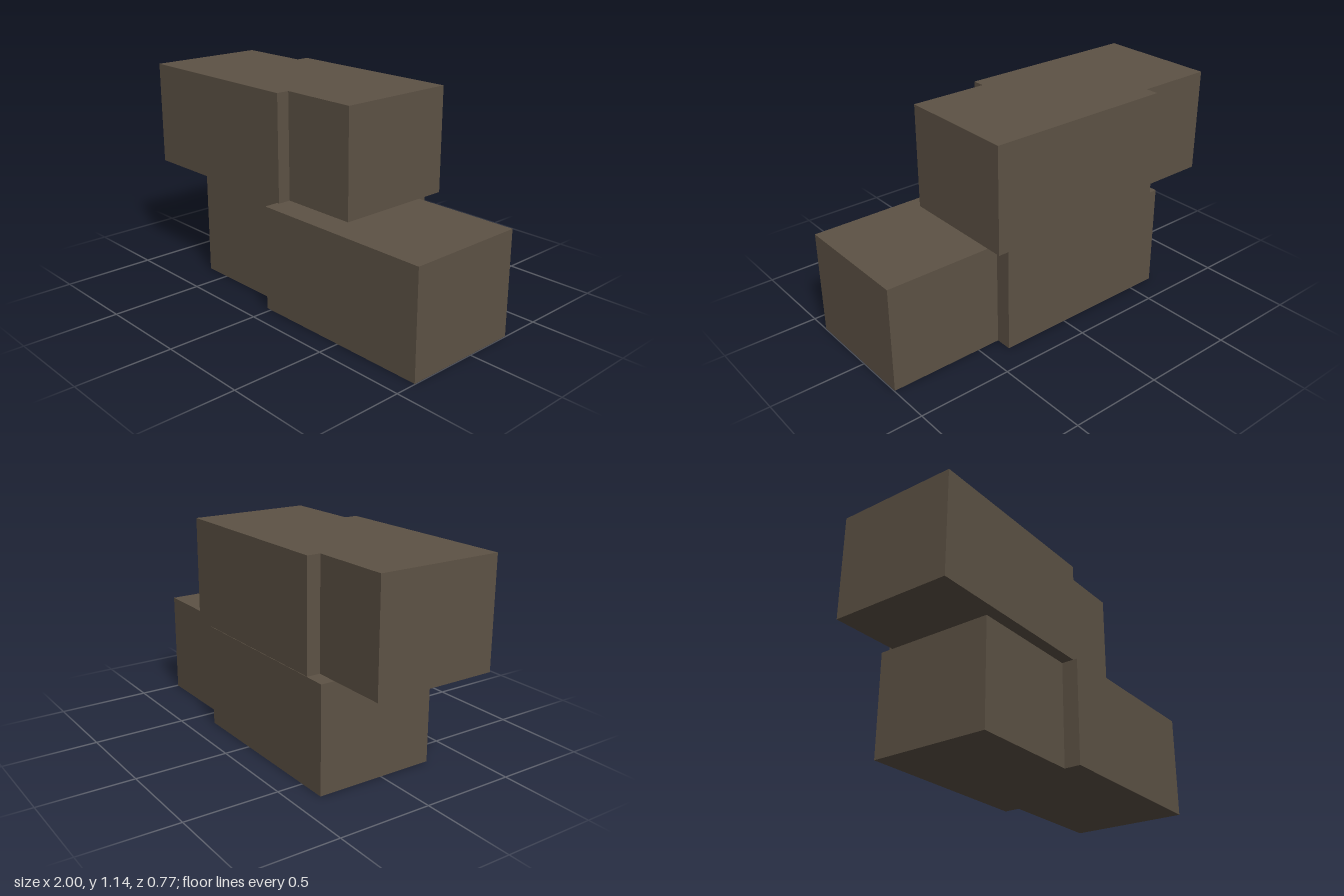
import * as THREE from 'three';

// Each block's plan is the union of two equal, offset rectangles
const LENGTH = 1.027, DEPTH = 0.656, HEIGHT = 0.562;

// Left rectangle starts at (xl, front zl), right rectangle at (xr, front zr)
function steppedBlock(name, { xl, zl, xr, zr }, y, material) {
  const shape = new THREE.Shape();
  // Shape y becomes -z once the block is stood upright
  const at = (x, z) => new THREE.Vector2(x, -z);
  const front = zl > zr ? xl + LENGTH : xr; // where the front face steps
  const back = zl > zr ? xr : xl + LENGTH; // where the back face steps
  shape.setFromPoints([
    at(xl, zl), at(front, zl), at(front, zr), at(xr + LENGTH, zr),
    at(xr + LENGTH, zr - DEPTH), at(back, zr - DEPTH), at(back, zl - DEPTH), at(xl, zl - DEPTH),
  ]);
  const geometry = new THREE.ExtrudeGeometry(shape, { depth: HEIGHT, bevelEnabled: false });
  geometry.rotateX(-Math.PI / 2);
  const mesh = new THREE.Mesh(geometry, material);
  mesh.name = name;
  mesh.position.y = y;
  return mesh;
}

export function createModel() {
  const group = new THREE.Group();
  group.name = 'stackedBlocks';
  const brown = new THREE.MeshStandardMaterial({ color: 0x5d5245 });
  brown.name = 'dark brown';

  // Lower block steps forward to the right
  group.add(steppedBlock('lowerBlock', { xl: -0.652, zl: 0.296, xr: -0.03, zr: 0.384 }, 0, brown));
  // Upper block floats just above it and steps back to the right
  group.add(steppedBlock('upperBlock', { xl: -1, zl: 0.341, xr: -0.577, zr: 0.271 }, 0.581, brown));
  // Close the lower block's right end at the full width
  group.children[0].scale.x = 1;
  return group;
}
